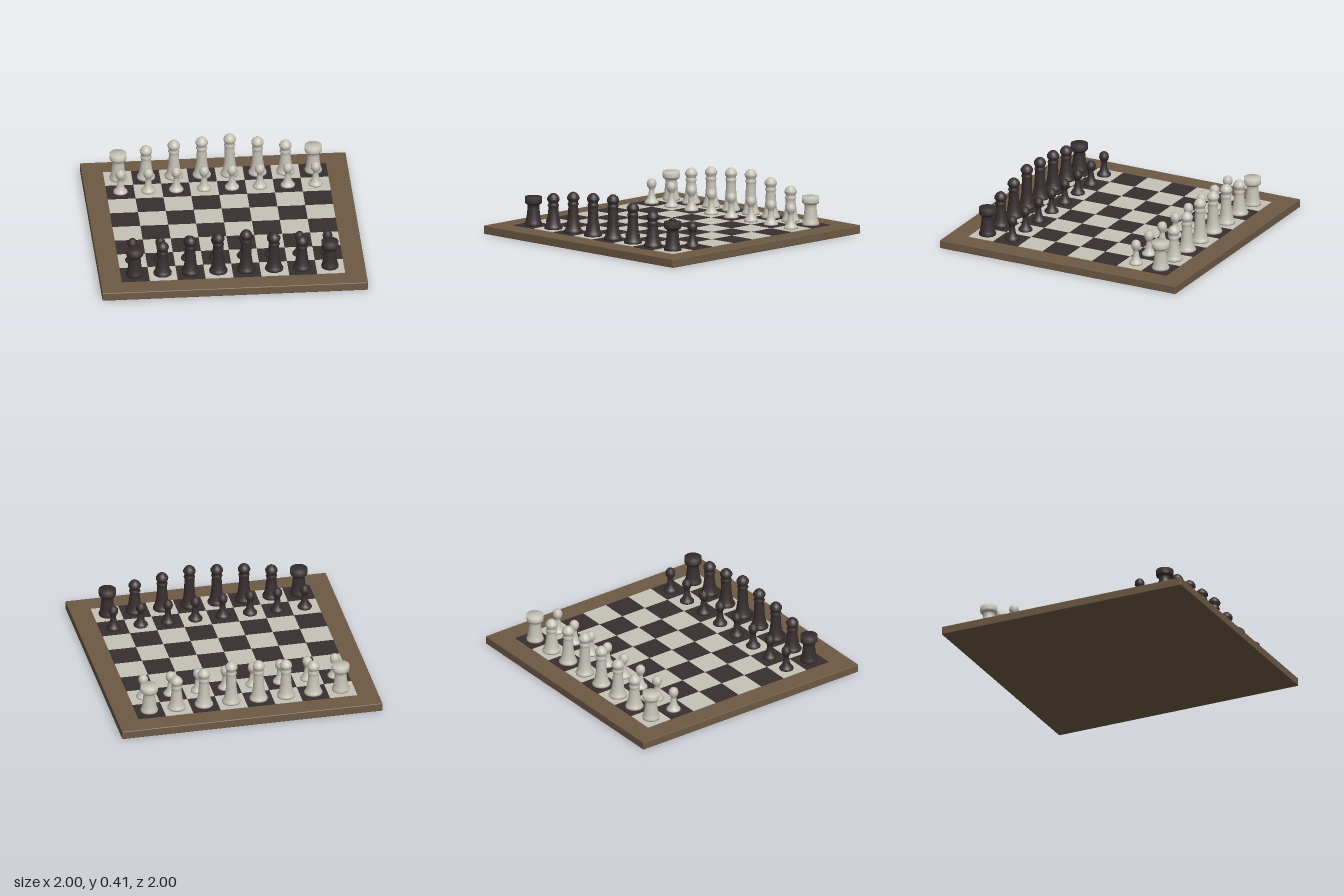
import * as THREE from 'three';
import { RoundedBoxGeometry } from 'three/addons/geometries/RoundedBoxGeometry.js';

const material = (name, color) => {
  const m = new THREE.MeshStandardMaterial({ color });
  m.name = name;
  return m;
};

// Turned piece from [radius, height] pairs, bottom to top
const turned = (points) =>
  new THREE.LatheGeometry(points.map(([r, y]) => new THREE.Vector2(r, y)), 28);

// Tall piece: flared foot, tapering stem, collar and a slightly pointed head
function tallPiece(h) {
  const n = h - 0.085; // neck height
  return turned([
    [0, 0], [0.068, 0], [0.069, 0.012], [0.062, 0.024], [0.055, 0.04],
    [0.047, 0.075], [0.041, 0.12], [0.037, n - 0.035],
    [0.037, n - 0.02], [0.043, n - 0.01], [0.037, n + 0.004],
    [0.035, n + 0.012], [0.046, n + 0.03], [0.047, n + 0.045],
    [0.035, n + 0.066], [0.018, n + 0.08], [0, h],
  ]);
}

const pawnShape = () => turned([
  [0, 0], [0.053, 0], [0.054, 0.01], [0.046, 0.022], [0.034, 0.036],
  [0.025, 0.065], [0.02, 0.1], [0.022, 0.114], [0.032, 0.128],
  [0.037, 0.148], [0.034, 0.168], [0.022, 0.184], [0, 0.191],
]);

const rookShape = () => turned([
  [0, 0], [0.064, 0], [0.066, 0.012], [0.06, 0.026], [0.054, 0.05],
  [0.049, 0.09], [0.045, 0.13], [0.044, 0.152], [0.05, 0.16],
  [0.062, 0.168], [0.065, 0.178], [0.065, 0.218], [0, 0.218],
]);

export function createModel() {
  const group = new THREE.Group();
  const wood = material('brown wood', 0x6e5a44);
  const dark = material('dark', 0x382e2f);
  const light = material('light', 0xc6c2b7);
  const square = 0.21;
  const boardTop = 0.064;
  const place = (i) => (i - 3.5) * square;

  const add = (name, geometry, mat, x, y, z) => {
    const mesh = new THREE.Mesh(geometry, mat);
    mesh.name = name;
    mesh.position.set(x, y, z);
    group.add(mesh);
  };

  // Board with softened edges
  add('board', new RoundedBoxGeometry(2, boardTop, 2, 2, 0.006), wood, 0, boardTop / 2, 0);

  // Checkered squares
  const tile = new THREE.BoxGeometry(square, 0.004, square);
  for (let row = 0; row < 8; row++) {
    for (let col = 0; col < 8; col++) {
      const mat = (row + col) % 2 ? dark : light;
      add('square', tile, mat, place(col), boardTop + 0.002, place(row));
    }
  }

  // Pieces, light at the back and dark at the front
  const shapes = {
    rook: rookShape(),
    knight: tallPiece(0.273),
    bishop: tallPiece(0.31),
    queen: tallPiece(0.328),
    king: tallPiece(0.345),
    pawn: pawnShape(),
  };
  const order = ['rook', 'knight', 'bishop', 'queen', 'king', 'bishop', 'knight', 'rook'];
  const y = boardTop + 0.003;
  for (const [mat, back, front] of [[light, 0, 1], [dark, 7, 6]]) {
    order.forEach((kind, col) => {
      add(kind, shapes[kind], mat, place(col), y, place(back));
      add('pawn', shapes.pawn, mat, place(col), y, place(front));
    });
  }
  return group;
}
